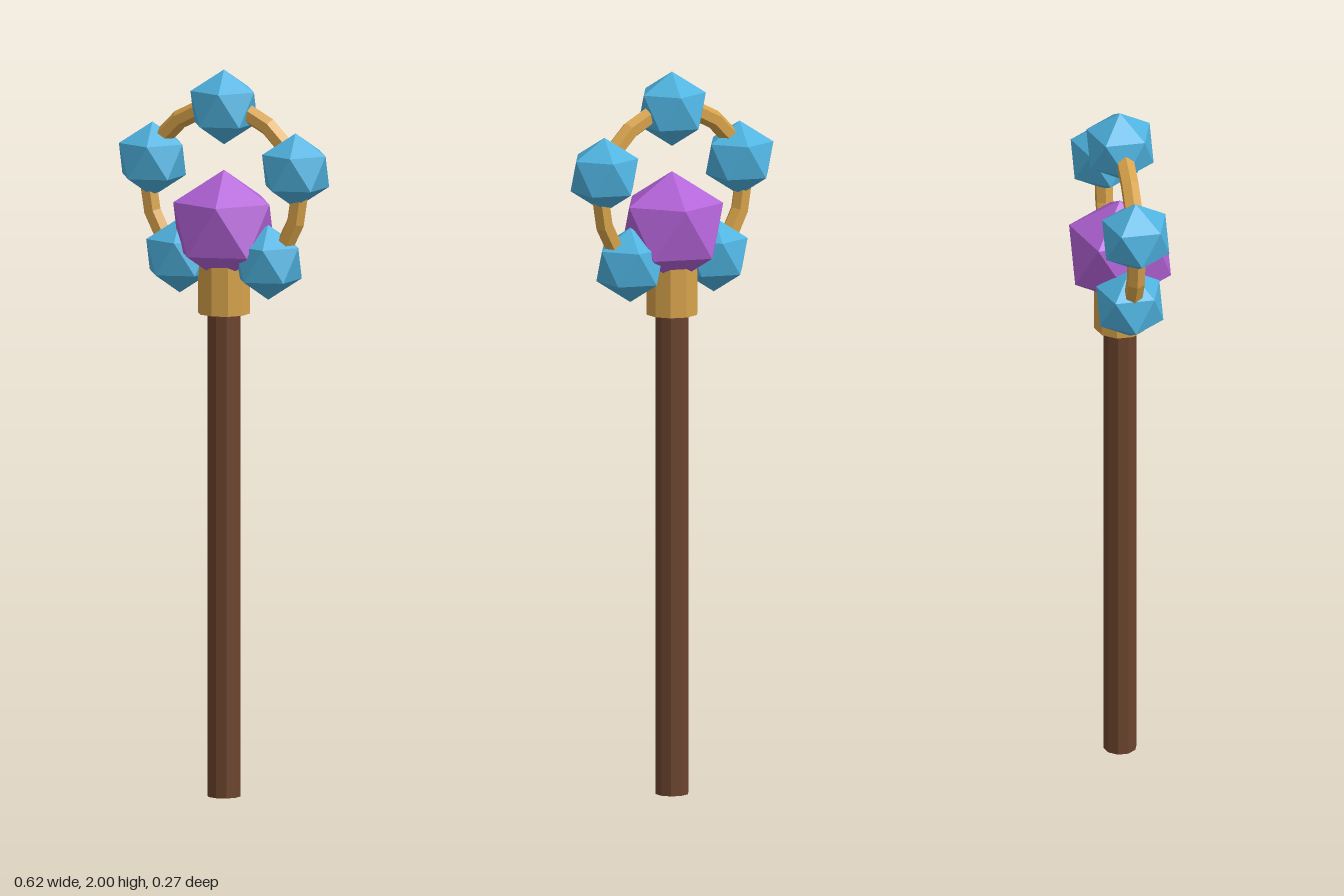
import * as THREE from 'three';

const mat = (color) => new THREE.MeshStandardMaterial({ color, flatShading: true });

export function createModel() {
  const staff = new THREE.Group();
  staff.name = 'staff';
  const wood = mat(0x6b432d), gold = mat(0xd6a24a), blue = mat(0x4fb3e0), purple = mat(0xb363d8);

  const add = (name, geometry, material, x, y) => {
    const mesh = new THREE.Mesh(geometry, material);
    mesh.name = name;
    mesh.position.set(x, y, 0);
    staff.add(mesh);
    return mesh;
  };

  // Twenty-sided gem turned so that one corner points straight up
  const gem = (radius) =>
    new THREE.IcosahedronGeometry(radius, 0).rotateZ(-Math.atan(2 / (1 + Math.sqrt(5))));

  // Wooden shaft and the gold collar at its top
  add('shaft', new THREE.CylinderGeometry(0.046, 0.046, 1.38, 10), wood, 0, 0.69);
  add('collar', new THREE.CylinderGeometry(0.072, 0.072, 0.155, 10), gold, 0, 1.4075);

  // Large gem resting in the collar
  add('centreGem', gem(0.156), purple, 0, 1.568);

  // Gold ring carrying five small gems
  const ringRadius = 0.231, ringY = 1.666;
  add('ring', new THREE.TorusGeometry(ringRadius, 0.026, 6, 20), gold, 0, ringY);
  const smallGem = gem(0.103);
  for (let i = 0; i < 5; i++) {
    const a = Math.PI / 2 + (i * Math.PI * 2) / 5;
    add('ringGem' + (i + 1), smallGem, blue,
      ringRadius * Math.cos(a), ringY + ringRadius * Math.sin(a));
  }
  return staff;
}
